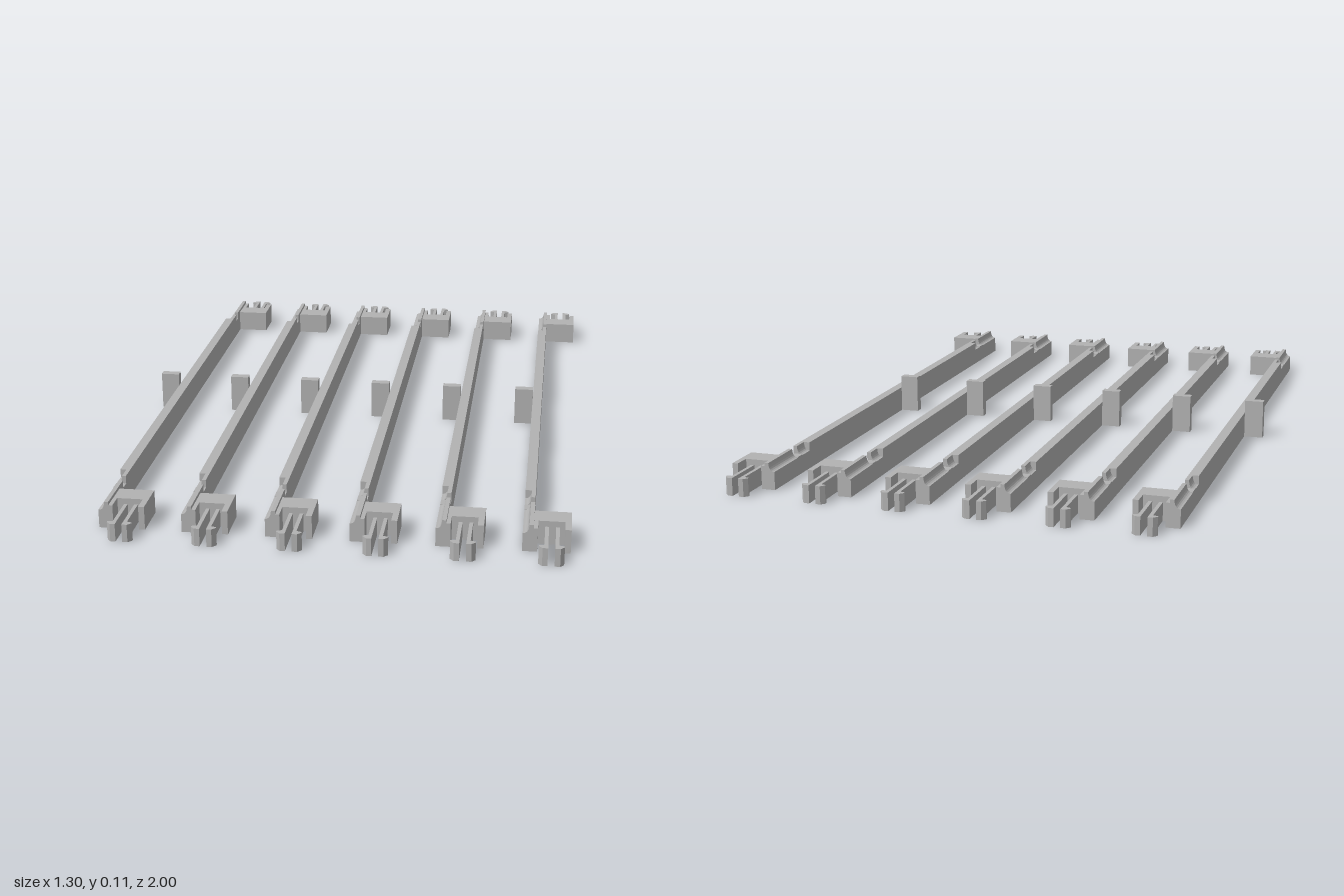
import * as THREE from 'three';

export function createModel() {
  const model = new THREE.Group();
  const grey = new THREE.MeshStandardMaterial({ color: 0xb2b2b2 });
  grey.name = 'plain grey';

  const extrude = (shape, depth, curveSegments = 6) =>
    new THREE.ExtrudeGeometry(shape, { depth, bevelEnabled: false, curveSegments });
  const box = (x0, x1, y1, z0, z1) =>
    new THREE.BoxGeometry(x1 - x0, y1, z1 - z0).translate((x0 + x1) / 2, y1 / 2, (z0 + z1) / 2);
  // Plan outline [x, z] raised to a height; side flips it to the other end
  const plan = (points, height, side) => extrude(
    new THREE.Shape(points.map(([x, z]) => new THREE.Vector2(x, -z * side))), height
  ).rotateX(-Math.PI / 2);

  // All x positions start at the outer face of the centre tab
  const barL = 0.055, barR = 0.083, barH = 0.075, right = 0.18;
  const parts = [
    ['centreTab', box(0, barL, 0.112, -0.013, 0.013)],
    ['bar', box(barL, barR, barH, -0.7, 0.7)],
  ];

  // Bar end section with a rounded channel along its upper outer edge
  const section = new THREE.Shape();
  section.moveTo(barL, 0);
  section.lineTo(barR, 0);
  section.lineTo(barR, barH);
  section.lineTo(barL + 0.017, barH);
  section.quadraticCurveTo(barL + 0.016, 0.051, barL, 0.051);
  section.closePath();

  // U-shaped end block
  const blockOutline = [
    [barR, 0.81], [right, 0.81], [right, 0.92], [0.164, 0.92],
    [0.164, 0.872], [0.094, 0.872], [0.094, 0.92], [barR, 0.92],
  ];
  const clipCentre = 0.131;

  for (const side of [1, -1]) {
    const span = (a, b) => (side > 0 ? [a, b] : [-b, -a]);
    for (const [a, b] of [[0.7, 0.745], [0.775, 0.92]]) {
      parts.push(['channelledBarEnd', extrude(section, b - a).translate(0, 0, span(a, b)[0])]);
    }
    parts.push(['barNotch', box(barL, barR, 0.053, ...span(0.745, 0.775))]);
    parts.push(['endBlock', plan(blockOutline, 0.066, side)]);
    // Pair of barbed snap prongs
    for (const m of [-1, 1]) {
      const prong = [
        [0.009, 0.872], [0.019, 0.872], [0.019, 0.98], [0.033, 0.984],
        [0.033, 0.989], [0.023, 1], [0.009, 1],
      ].map(([x, z]) => [clipCentre + m * x, z]);
      parts.push(['snapProng', plan(prong, 0.05, side)]);
    }
  }

  // Row of six identical rails
  for (let i = 0; i < 6; i++) {
    const rail = new THREE.Group();
    rail.name = `rail${i + 1}`;
    rail.position.x = -0.652 + i * 0.2248;
    for (const [name, geometry] of parts) {
      const mesh = new THREE.Mesh(geometry, grey);
      mesh.name = name;
      rail.add(mesh);
    }
    model.add(rail);
  }
  return model;
}
